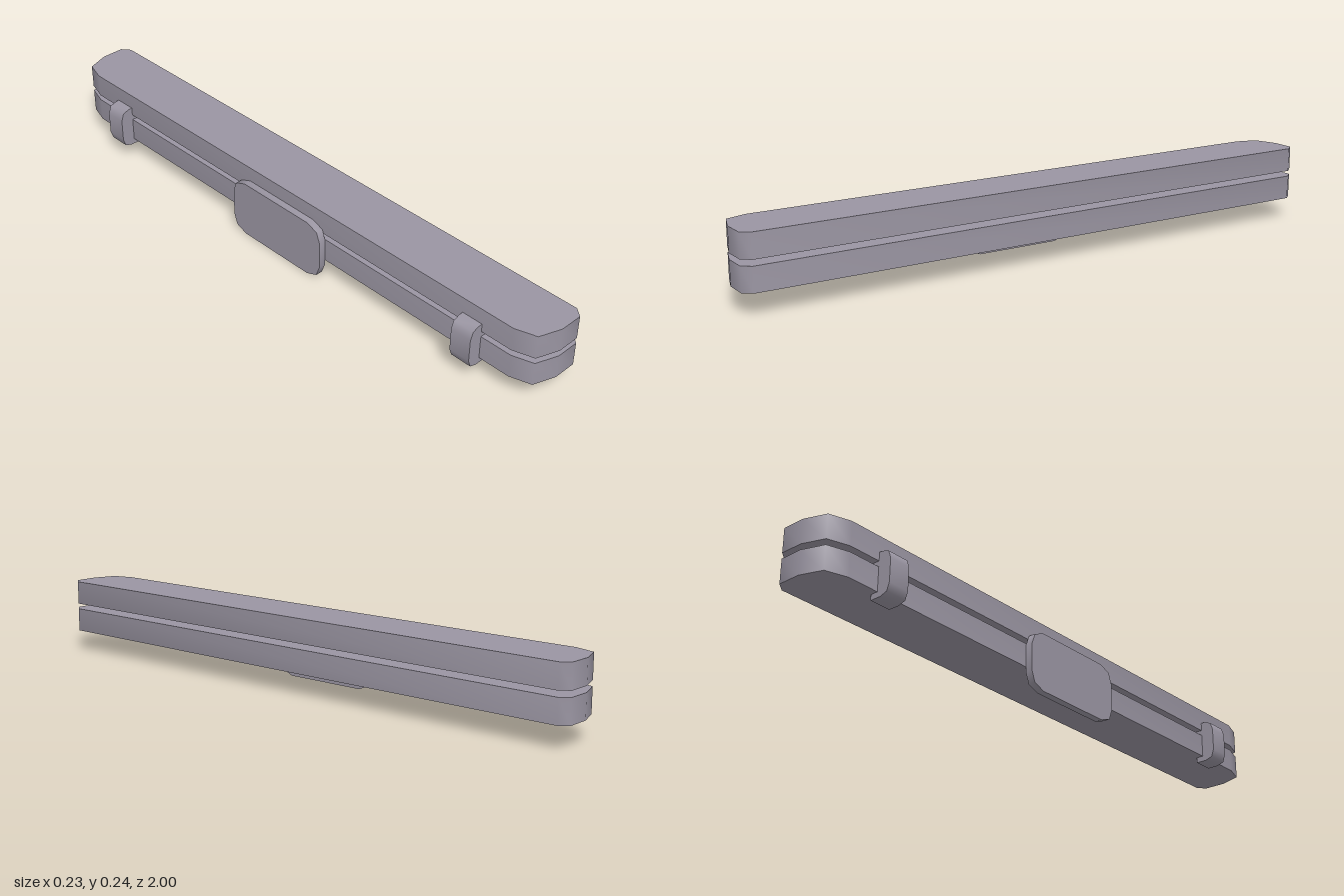
import * as THREE from 'three';
import { toCreasedNormals } from 'three/addons/utils/BufferGeometryUtils.js';

const extrude = (points, depth) => {
  const shape = new THREE.Shape(points.map(([x, y]) => new THREE.Vector2(x, y)));
  return new THREE.ExtrudeGeometry(shape, { depth, bevelEnabled: false });
};

export function createModel() {
  const group = new THREE.Group();
  const greyMetal = new THREE.MeshStandardMaterial({ color: 0x9a95a2 });
  greyMetal.name = 'greyMetal';

  const add = (name, geometry, x, y, z) => {
    const mesh = new THREE.Mesh(toCreasedNormals(geometry, 0.96), greyMetal);
    mesh.name = name;
    mesh.position.set(x, y, z);
    group.add(mesh);
  };

  // Two long slabs with softened ends, separated by an open gap
  const end = [[0.117, 0.973], [0.095, 1], [0.02, 1], [-0.052, 0.975], [-0.073, 0.908]];
  const outline = [...end, ...end.map(([x, z]) => [x, -z]).reverse()];
  [['lowerSlab', 0.068], ['upperSlab', 0.163]].forEach(([name, y]) => {
    add(name, extrude(outline, 0.077).rotateX(-Math.PI / 2), 0, y, 0);
  });

  // Rounded plate on the side, its profile mirrored in both directions
  const corner = [[0.193, 0.045], [0.18, 0.08], [0.14, 0.0955]];
  const half = [...corner.map(([z, y]) => [z, -y]).reverse(), ...corner];
  const plate = [...half, ...half.map(([z, y]) => [-z, -y])];
  add('sidePlate', extrude(plate, 0.024).rotateY(-Math.PI / 2), -0.073, 0.0955, 0);

  // Clips that bridge the slabs near each end
  const clip = [
    [-0.048, 0.05], [-0.048, 0.19], [-0.085, 0.19], [-0.109, 0.182],
    [-0.118, 0.157], [-0.118, 0.083], [-0.109, 0.058], [-0.085, 0.05],
  ];
  [['frontClip', 0.768], ['backClip', -0.768]].forEach(([name, z]) => {
    add(name, extrude(clip, 0.07), 0, 0, z - 0.035);
  });

  return group;
}
